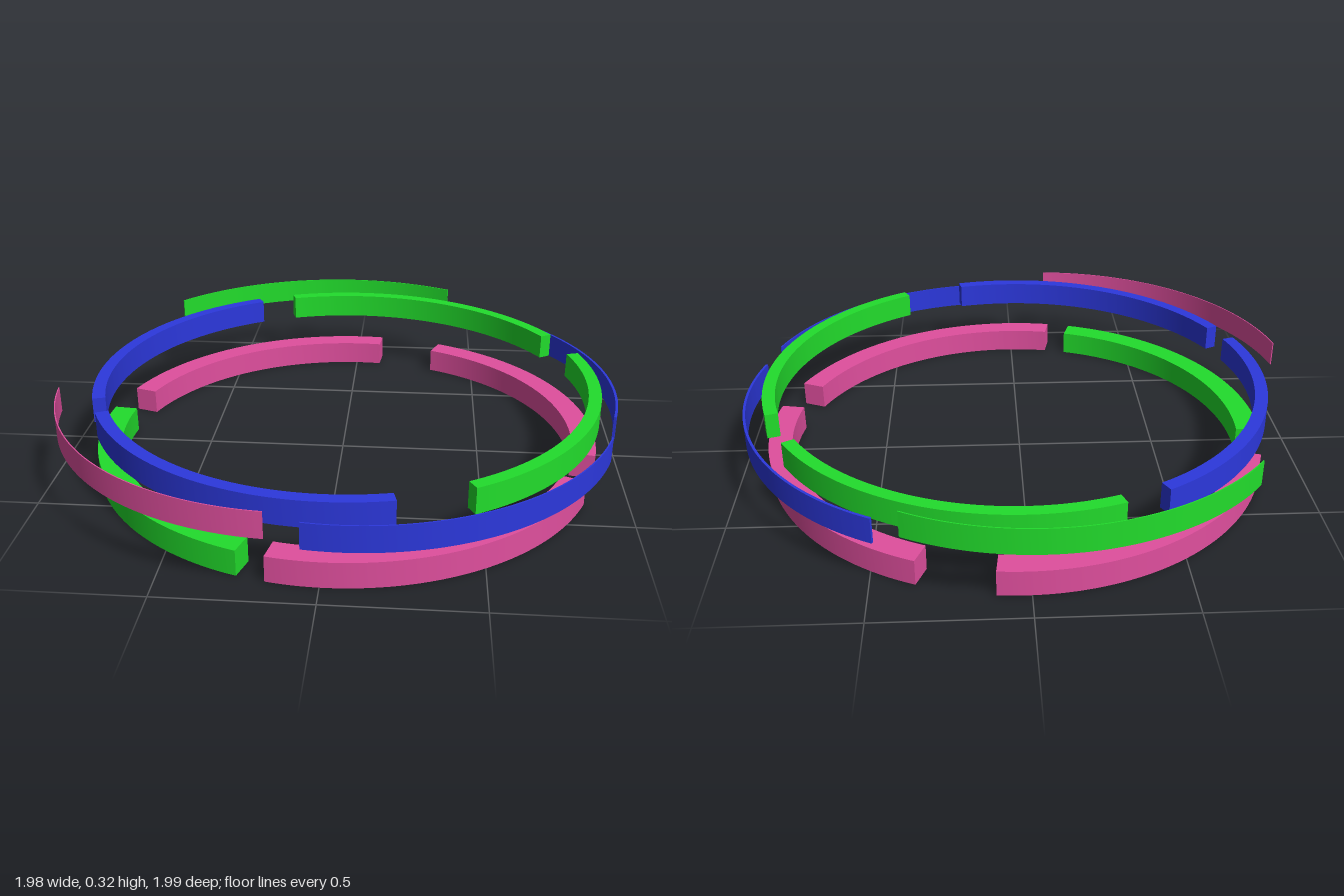
import * as THREE from 'three';
import { toCreasedNormals } from 'three/addons/utils/BufferGeometryUtils.js';

const HEIGHT = 0.09;
const OUTER = 0.905;
const SPAN = 78.6; // every segment covers the same angle, in degrees

const material = (color) => new THREE.MeshStandardMaterial({ color, side: THREE.DoubleSide });

// Curved bar centred on an angle measured from +x towards +z
function arcBar(name, mat, middle, thickness, bottom, x, z) {
  const a = THREE.MathUtils.degToRad(middle - SPAN / 2);
  const b = THREE.MathUtils.degToRad(middle + SPAN / 2);
  const shape = new THREE.Shape();
  shape.absarc(0, 0, OUTER, a, b, false);
  shape.absarc(0, 0, OUTER - thickness, b, a, true);
  const extruded = new THREE.ExtrudeGeometry(shape, { depth: HEIGHT, bevelEnabled: false, curveSegments: 32 });
  extruded.rotateX(Math.PI / 2);
  extruded.translate(0, HEIGHT, 0);
  const mesh = new THREE.Mesh(toCreasedNormals(extruded, 0.5), mat);
  mesh.name = name;
  mesh.position.set(x, bottom, z);
  return mesh;
}

export function createModel() {
  const model = new THREE.Group();
  model.name = 'segmentedRings';
  const pink = material(0xe04f9e);
  const green = material(0x22dd2c);
  const blue = material(0x2c38dd);
  const cx = 0.015, cz = 0.01;

  // Lower ring: four thick bars
  const lower = new THREE.Group();
  lower.name = 'lowerRing';
  [[331.5, pink], [62.3, pink], [146.8, green], [236.7, pink]].forEach(([angle, mat], i) =>
    lower.add(arcBar(`lowerSegment${i + 1}`, mat, angle, 0.085, 0, cx, cz)));

  // Upper ring: four narrower bars
  const upper = new THREE.Group();
  upper.name = 'upperRing';
  [[290, green], [21.5, green], [115.9, blue], [201.8, blue]].forEach(([angle, mat], i) =>
    upper.add(arcBar(`upperSegment${i + 1}`, mat, angle, 0.045, 0.206, cx, cz)));

  // Outer shells: thin curved strips, each shifted outwards
  const shells = new THREE.Group();
  shells.name = 'outerShells';
  [
    [258.6, green, 0.004, 0.23, -0.032, -0.096],
    [132.9, pink, 0.004, 0.211, -0.094, 0.087],
    [-24.5, blue, 0.009, 0.166, 0.08, -0.025],
    [58, blue, 0.005, 0.166, 0.065, 0.069],
  ].forEach(([angle, mat, thickness, bottom, x, z], i) =>
    shells.add(arcBar(`outerShell${i + 1}`, mat, angle, thickness, bottom, x, z)));

  model.add(lower, upper, shells);
  return model;
}
